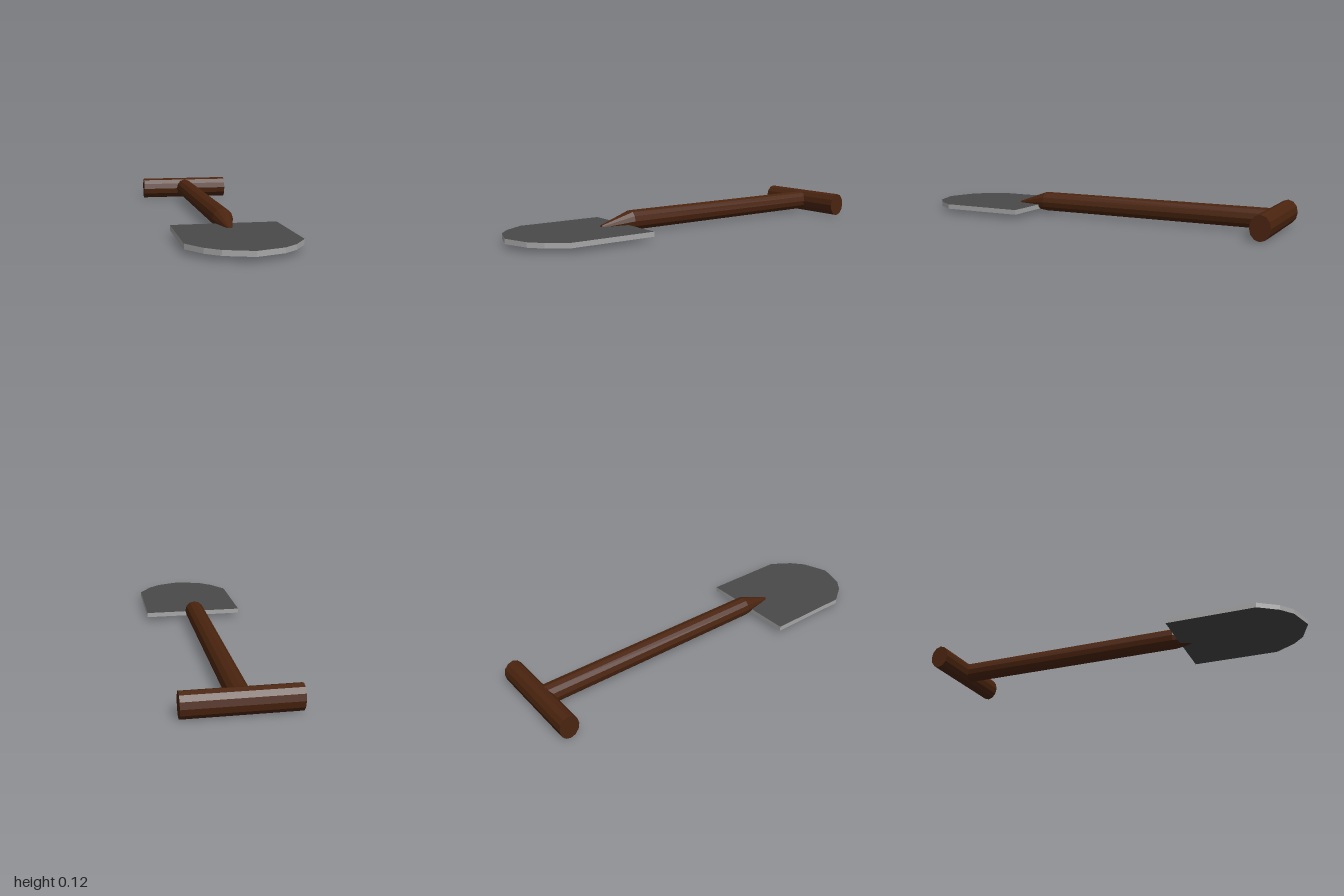
import * as THREE from 'three';

const SIDES = 12;

export function createModel() {
  const wood = new THREE.MeshStandardMaterial({ color: 0x4a240f, flatShading: true });
  wood.name = 'dark brown wood';
  const face = new THREE.MeshStandardMaterial({ color: 0x494949, flatShading: true });
  face.name = 'dark grey metal';
  const rim = new THREE.MeshStandardMaterial({ color: 0xa6a6a6, flatShading: true });
  rim.name = 'light grey metal';

  const group = new THREE.Group();
  const add = (name, geometry, material) => {
    const mesh = new THREE.Mesh(geometry, material);
    mesh.name = name;
    group.add(mesh);
  };

  // Blade: flat plate, square at the shaft and rounded to a point in front
  const half = [[0.267, 0.355], [0.267, 0.8], [0.2, 0.9], [0.135, 0.955]];
  const outline = [
    ...half, [0, 1],
    ...half.map(([x, z]) => [-x, z]).reverse(),
  ].map(([x, z]) => new THREE.Vector2(x, z));
  const blade = new THREE.ExtrudeGeometry(new THREE.Shape(outline), { depth: 0.025, bevelEnabled: false });
  blade.rotateX(Math.PI / 2).translate(0, 0.048, 0);
  add('blade', blade, [face, rim]);

  // Shaft: straight round pole along z
  const shaft = new THREE.CylinderGeometry(0.052, 0.052, 1.27, SIDES);
  shaft.rotateX(Math.PI / 2).translate(0, 0.064, -0.315);
  add('shaft', shaft, wood);

  // Tip: taper that leans down into the blade
  const length = 0.17;
  const tip = new THREE.CylinderGeometry(0.012, 0.052, length, SIDES);
  tip.rotateX(Math.PI / 2).translate(0, 0.064, 0.32 + length / 2);
  const p = tip.attributes.position;
  for (let i = 0; i < p.count; i++) {
    p.setY(i, p.getY(i) - 0.02 * (p.getZ(i) - 0.32) / length);
  }
  tip.computeVertexNormals();
  add('shaftTip', tip, wood);

  // Handle: oval crossbar along x
  const handle = new THREE.CylinderGeometry(0.062, 0.062, 0.53, SIDES);
  handle.rotateZ(Math.PI / 2).scale(1, 1, 0.05 / 0.062).translate(0, 0.062, -0.95);
  add('handle', handle, wood);

  return group;
}
